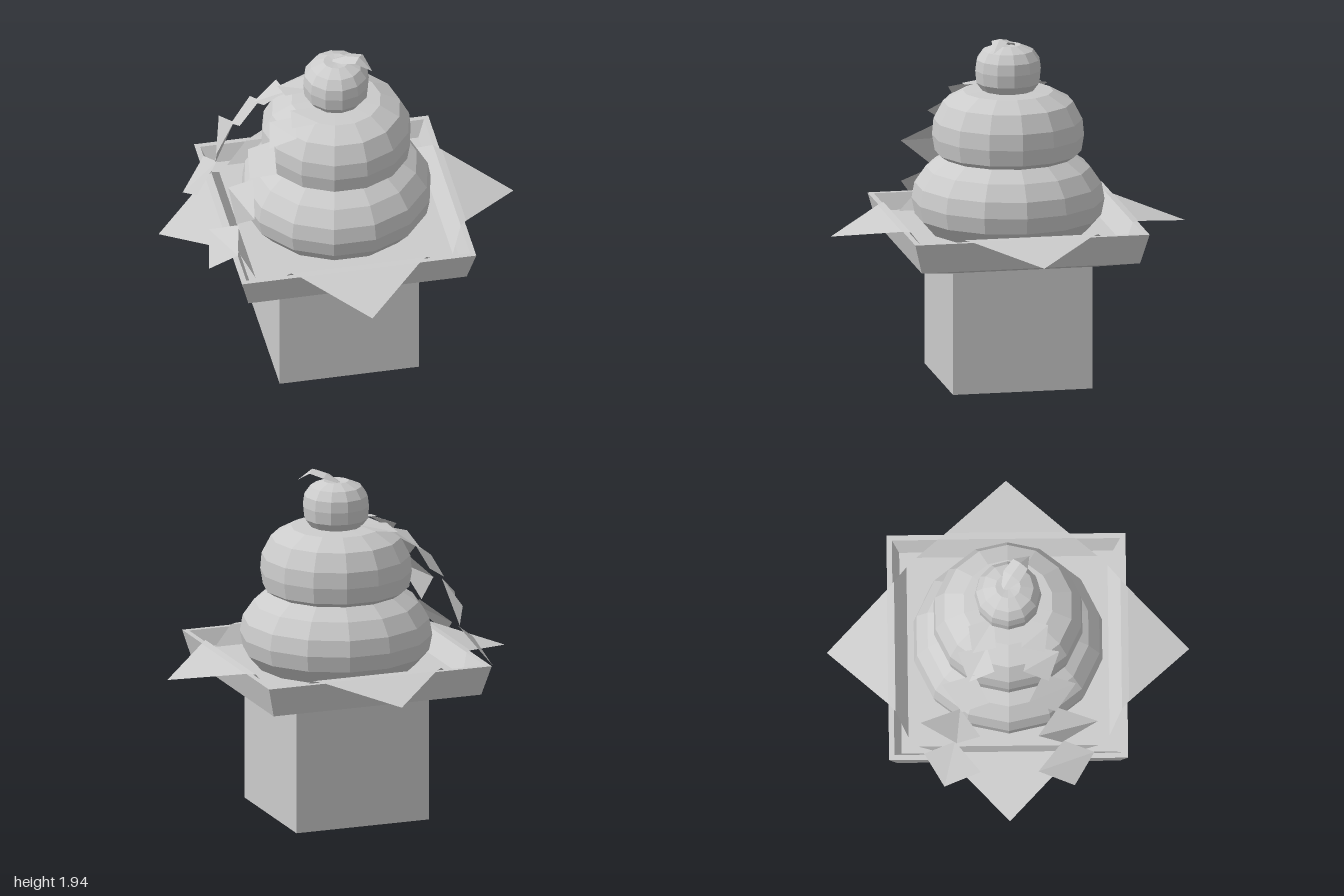
import * as THREE from 'three';

const material = new THREE.MeshStandardMaterial({ color: 0xcccccc, flatShading: true, side: THREE.DoubleSide });

function addMesh(parent, name, geometry) {
  const flat = geometry.index ? geometry.toNonIndexed() : geometry;
  flat.computeVertexNormals();
  const mesh = new THREE.Mesh(flat, material);
  mesh.name = name;
  parent.add(mesh);
  return mesh;
}

// Faceted turned shape from [radius, height] pairs
function turned(profile, sides, start) {
  const points = profile.map(([r, y]) => new THREE.Vector2(r, y));
  return new THREE.LatheGeometry(points, sides, start);
}

// Square shape from [half width, height] pairs
function square(profile) {
  return turned(profile.map(([h, y]) => [h * Math.SQRT2, y]), 4, Math.PI / 4);
}

// Surface joining rows of equally many [x, y, z] points
function sheet(rows) {
  const n = rows[0].length, index = [];
  for (let i = 0; i < rows.length - 1; i++) {
    for (let j = 0; j < n - 1; j++) {
      const a = i * n + j, b = a + n;
      index.push(a, b, a + 1, a + 1, b, b + 1);
    }
  }
  const geometry = new THREE.BufferGeometry();
  geometry.setAttribute('position', new THREE.Float32BufferAttribute(rows.flat(2), 3));
  geometry.setIndex(index);
  return geometry;
}

export function createModel() {
  const model = new THREE.Group();
  model.name = 'riceCakeOffering';

  // Hollow stand, open underneath, and the flared tray on it
  const stand = new THREE.Group();
  stand.name = 'stand';
  stand.position.set(-0.004, 0, -0.004);
  model.add(stand);
  addMesh(stand, 'pedestal', square([[0.393, 0], [0.393, 0.69]]));
  addMesh(stand, 'tray', square([
    [0.393, 0.69], [0.615, 0.75], [0.66, 0.92], [0.63, 0.92], [0.59, 0.83], [0, 0.83],
  ]));

  // Paper corners: up the tray wall, over the rim and down to a point
  for (let i = 0; i < 4; i++) {
    const rows = [[0.5, 0.832, 0.555], [0.38, 0.93, 0.625], [0.335, 0.925, 0.665], [0, 0.837, 1]]
      .map(([x, y, z]) => [[-x, y, z], [x, y, z]]);
    addMesh(model, 'paperCorner', sheet(rows)).rotation.y = i * Math.PI / 2;
  }

  // Two stacked rice cakes and the fruit
  addMesh(model, 'lowerRiceCake', turned([
    [0, 0.832], [0.44, 0.835], [0.515, 0.92], [0.533, 1.01], [0.517, 1.1],
    [0.455, 1.19], [0.36, 1.255], [0, 1.26],
  ], 14, Math.PI / 2));
  addMesh(model, 'upperRiceCake', turned([
    [0, 1.245], [0.36, 1.25], [0.405, 1.28], [0.42, 1.37], [0.412, 1.46],
    [0.36, 1.56], [0.25, 1.62], [0, 1.635],
  ], 14, Math.PI / 2));
  addMesh(model, 'fruit', turned([
    [0, 1.61], [0.14, 1.62], [0.178, 1.67], [0.185, 1.74], [0.177, 1.8],
    [0.142, 1.85], [0.07, 1.88], [0, 1.87],
  ], 12, 0));

  // Arched leaf: [x, y, z, half width] along the midrib
  const leaf = [[-0.02, 1.87, -0.03, 0.012], [0.05, 1.92, 0.02, 0.055], [0.115, 1.94, 0.07, 0.05], [0.18, 1.87, 0.12, 0]]
    .map(([x, y, z, w]) => [-1, 0, 1].map((s) => [x + 0.6 * w * s, y - 0.3 * w * s * s, z - 0.8 * w * s]));
  addMesh(model, 'leaf', sheet(leaf));

  // Folded zigzag streamers, mirrored front to back; four corners per fold
  const folds = [
    [[-0.14, 1.632, -0.22], [-0.1, 1.636, -0.08], [-0.27, 1.63, -0.07], [-0.29, 1.605, -0.2]],
    [[-0.28, 1.59, -0.28], [-0.26, 1.62, -0.12], [-0.39, 1.575, -0.08], [-0.42, 1.5, -0.22]],
    [[-0.41, 1.43, -0.37], [-0.39, 1.53, -0.19], [-0.52, 1.43, -0.11], [-0.54, 1.34, -0.26]],
    [[-0.56, 1.23, -0.49], [-0.52, 1.34, -0.27], [-0.64, 1.22, -0.16], [-0.62, 1.06, -0.29]],
    [[-0.65, 0.98, -0.47], [-0.61, 1.06, -0.3], [-0.75, 0.95, -0.16], [-0.79, 0.83, -0.36]],
  ];
  for (const side of [1, -1]) {
    const streamer = new THREE.Group();
    streamer.name = side > 0 ? 'backStreamer' : 'frontStreamer';
    for (const fold of folds) {
      const [a, b, c, d] = fold.map(([x, y, z]) => [x, y, z * side]);
      addMesh(streamer, 'streamerFold', sheet(side > 0 ? [[a, b], [d, c]] : [[b, a], [c, d]]));
    }
    model.add(streamer);
  }
  return model;
}
